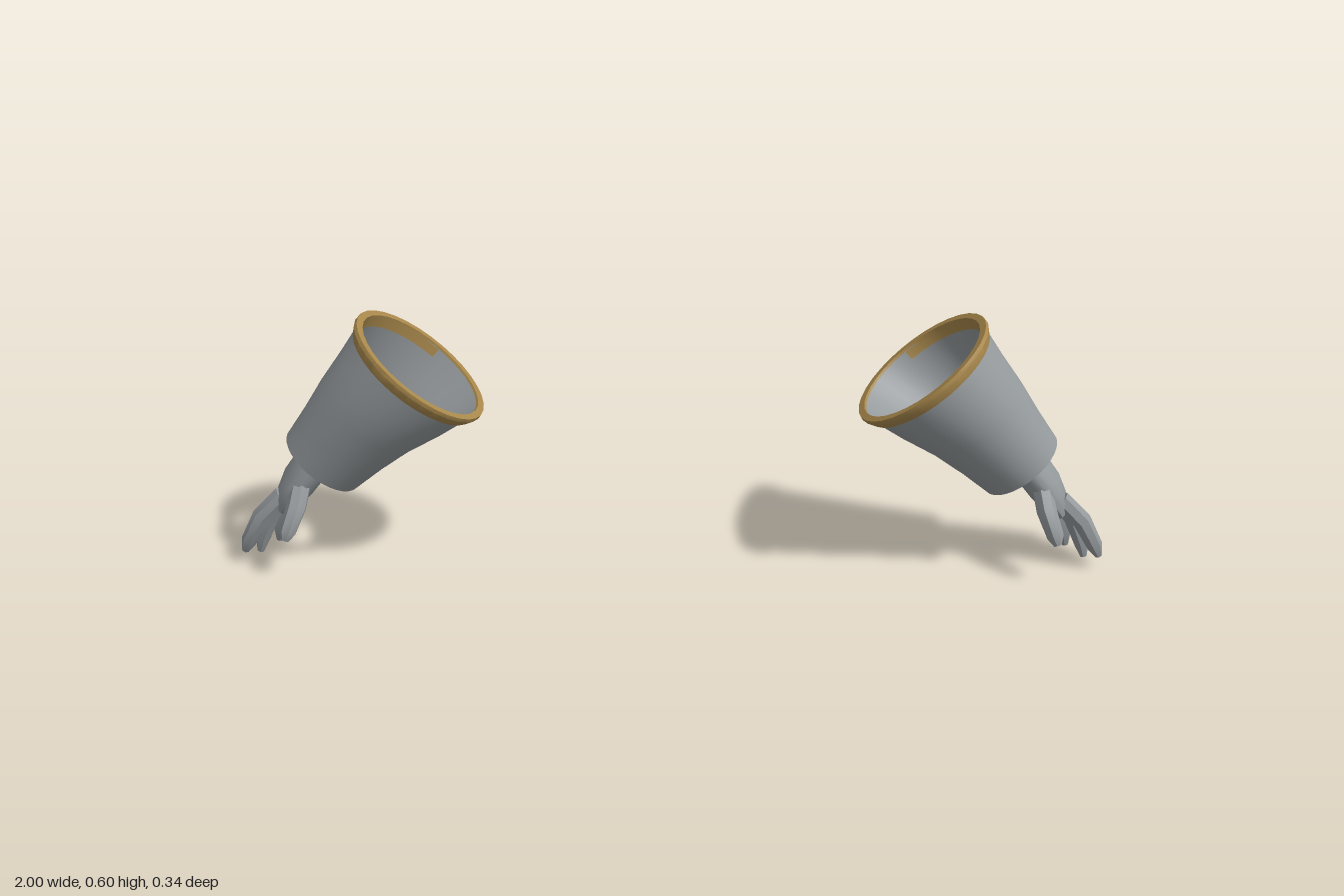
import * as THREE from 'three';
import { toCreasedNormals } from 'three/addons/utils/BufferGeometryUtils.js';

const V = (x, y, z) => new THREE.Vector3(x, y, z);
const Z = V(0, 0, 1);
const AXIS = V(0.638, -0.77, 0).normalize(); // forearm direction, down and outward

// Skin elliptical rings { c, t, ru, rz }: centre, direction, radius across, radius along z.
// side = -1 builds the mirrored copy.
function loft(rings, sides, side, { caps = false, closed = false, crease = 0.6 } = {}) {
  const pos = [], idx = [];
  const tri = (a, b, c) => (side > 0 ? idx.push(a, b, c) : idx.push(a, c, b));
  const put = (p) => pos.push(p.x * side, p.y, p.z);
  for (const { c, t, ru, rz } of rings) {
    const b = Z.clone().addScaledVector(t, -Z.dot(t)).normalize();
    const a = b.clone().cross(t);
    for (let j = 0; j < sides; j++) {
      const th = (j / sides) * Math.PI * 2;
      put(c.clone().addScaledVector(a, ru * Math.cos(th)).addScaledVector(b, rz * Math.sin(th)));
    }
  }
  const n = rings.length;
  for (let i = 0; i < (closed ? n : n - 1); i++) {
    const r0 = i * sides, r1 = ((i + 1) % n) * sides;
    for (let j = 0; j < sides; j++) {
      const k = (j + 1) % sides;
      tri(r0 + j, r0 + k, r1 + j);
      tri(r0 + k, r1 + k, r1 + j);
    }
  }
  if (caps) {
    const last = (n - 1) * sides;
    put(rings[0].c);
    put(rings[n - 1].c);
    for (let j = 0; j < sides; j++) {
      const k = (j + 1) % sides;
      tri(n * sides, k, j);
      tri(n * sides + 1, last + j, last + k);
    }
  }
  const g = new THREE.BufferGeometry();
  g.setAttribute('position', new THREE.Float32BufferAttribute(pos, 3));
  g.setIndex(idx);
  return toCreasedNormals(g, crease);
}

// Rows of [x, y, z, radius across, radius along z] set square to the forearm
const rows = (list, shrink = 0) => list.map(([x, y, z, ru, rz]) => (
  { c: V(x, y, z), t: AXIS, ru: ru - shrink, rz: rz - shrink }));

// Finger rings follow the direction of the path
function fingerRings(path, r) {
  const scale = [1, 1.02, 0.86, 0.4];
  const pts = path.map((p) => V(...p));
  return pts.map((c, i) => ({
    c,
    t: pts[Math.min(i + 1, 3)].clone().sub(pts[Math.max(i - 1, 0)]).normalize(),
    ru: r * scale[i], rz: r * scale[i],
  }));
}

const SLEEVE = [
  [0.555, 0.491, 0, 0.165, 0.160],
  [0.615, 0.433, 0, 0.147, 0.148],
  [0.679, 0.375, -0.005, 0.128, 0.134],
  [0.737, 0.312, -0.014, 0.112, 0.119],
  [0.792, 0.252, -0.019, 0.100, 0.107],
];

const PALM = [
  [0.745, 0.325, -0.015, 0.056, 0.078],
  [0.798, 0.268, -0.018, 0.053, 0.083],
  [0.806, 0.258, -0.018, 0.051, 0.081],
  [0.809, 0.254, -0.018, 0.044, 0.072],
  [0.850, 0.200, -0.020, 0.042, 0.077],
  [0.878, 0.158, -0.029, 0.033, 0.076],
  [0.890, 0.138, -0.032, 0.020, 0.064],
];

const FINGERS = {
  thumb: [0.023, [[0.835, 0.22, 0.028], [0.845, 0.17, 0.062], [0.864, 0.12, 0.093], [0.87, 0.102, 0.1]]],
  indexFinger: [0.022, [[0.885, 0.175, 0.01], [0.938, 0.122, 0.015], [0.972, 0.06, 0.016], [0.985, 0.032, 0.014]]],
  middleFinger: [0.021, [[0.88, 0.168, -0.026], [0.924, 0.11, -0.033], [0.953, 0.04, -0.037], [0.962, 0.005, -0.036]]],
  ringFinger: [0.020, [[0.868, 0.165, -0.06], [0.9, 0.105, -0.071], [0.92, 0.042, -0.078], [0.926, 0.012, -0.081]]],
  littleFinger: [0.018, [[0.855, 0.175, -0.083], [0.872, 0.12, -0.099], [0.886, 0.062, -0.112], [0.894, 0.036, -0.116]]],
};

export function createModel() {
  const grey = new THREE.MeshStandardMaterial({ color: 0x959a9d });
  grey.name = 'steel grey';
  const gold = new THREE.MeshStandardMaterial({ color: 0xa8884c });
  gold.name = 'antique gold';

  const model = new THREE.Group();
  model.name = 'gauntlets';

  for (const side of [1, -1]) {
    const gauntlet = new THREE.Group();
    gauntlet.name = side > 0 ? 'leftGauntlet' : 'rightGauntlet';
    if (side < 0) gauntlet.position.x = -0.01;
    const add = (name, geometry, material) => {
      const mesh = new THREE.Mesh(geometry, material);
      mesh.name = name;
      gauntlet.add(mesh);
    };

    // Flared sleeve with an outer and an inner wall
    const walls = [...rows(SLEEVE), ...rows(SLEEVE, 0.008).reverse()];
    add('sleeve', loft(walls, 32, side, { closed: true }), grey);

    // Gold band round the wide opening: [offset along axis, radius across, radius along z]
    const band = [[-0.003, 0.158, 0.153], [-0.003, 0.174, 0.169], [0.006, 0.175, 0.170],
      [0.026, 0.164, 0.160], [0.026, 0.152, 0.148]].map(([d, ru, rz]) => (
      { c: V(0.553, 0.493, 0).addScaledVector(AXIS, d), t: AXIS, ru, rz }));
    add('rimBand', loft(band, 32, side, { closed: true }), gold);

    // Hand with a raised wrist collar, and faceted fingers
    add('palm', loft(rows(PALM), 16, side, { caps: true, crease: 0.7 }), grey);
    for (const [name, [r, path]] of Object.entries(FINGERS)) {
      add(name, loft(fingerRings(path, r), 7, side, { caps: true, crease: 0.7 }), grey);
    }
    model.add(gauntlet);
  }
  return model;
}
